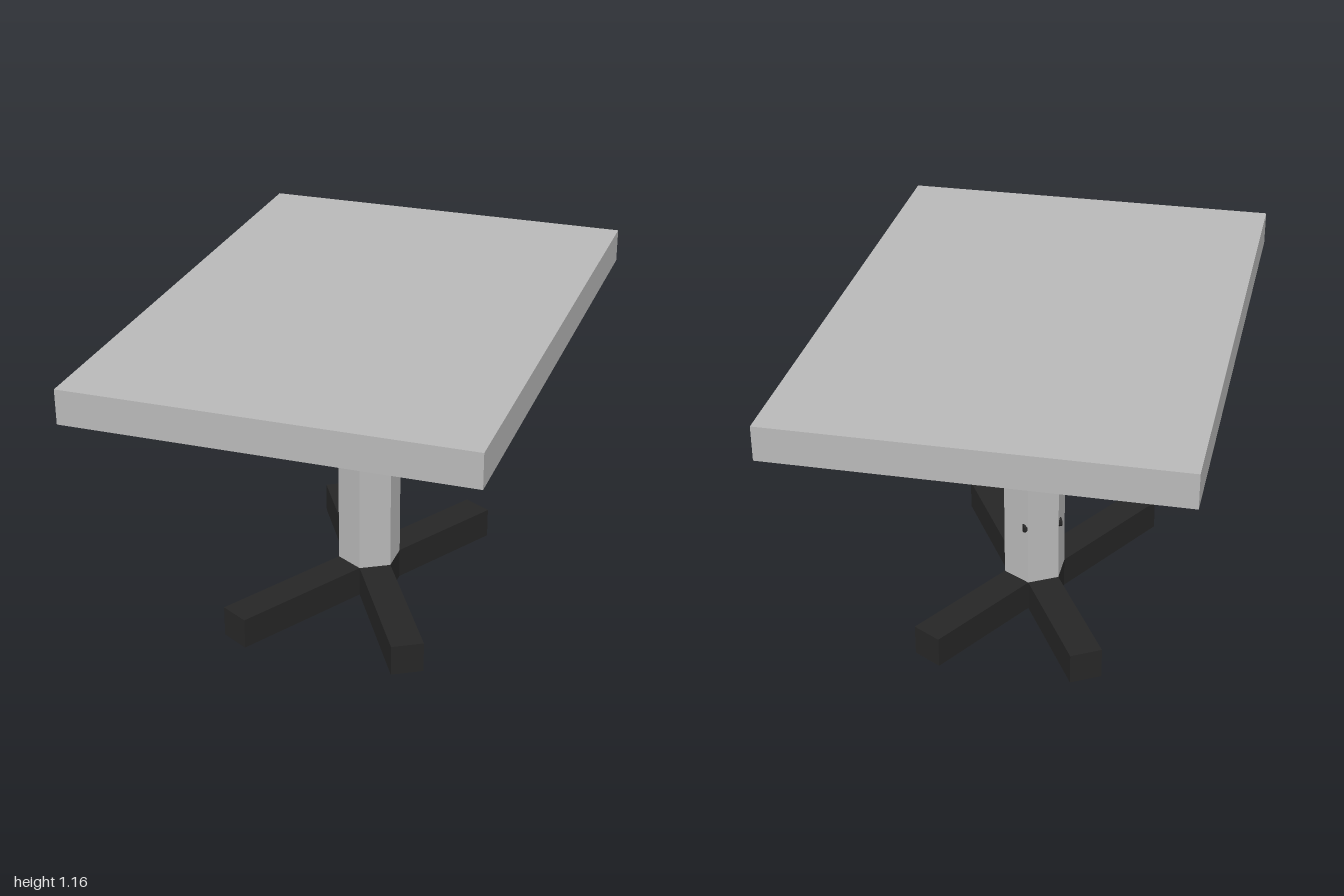
import * as THREE from 'three';

const grey = new THREE.MeshStandardMaterial({ color: 0xb8b8b8, flatShading: true });
grey.name = 'light grey';
const black = new THREE.MeshStandardMaterial({ color: 0x262626, flatShading: true });
black.name = 'charcoal';

const AXIS_Z = -0.053;   // the pedestal stands slightly behind the centre
const HEX = 0.1175;      // hexagon radius, also its side length
const BASE_H = 0.115;
const TOP_Y = 1.04;
const TOP_H = 0.123;

export function createModel() {
  const model = new THREE.Group();
  model.name = 'pedestalTable';

  const add = (name, geometry, material, x, y, z, parent = model) => {
    const mesh = new THREE.Mesh(geometry, material);
    mesh.name = name;
    mesh.position.set(x, y, z);
    parent.add(mesh);
    return mesh;
  };

  // Table top and hexagonal column
  add('tableTop', new THREE.BoxGeometry(1.4, TOP_H, 2), grey, 0, TOP_Y + TOP_H / 2, 0);
  add('column', new THREE.CylinderGeometry(HEX, HEX, TOP_Y - BASE_H, 6), grey,
    0, (TOP_Y + BASE_H) / 2, AXIS_Z);

  // Base: a hexagonal hub with four arms growing from its slanted faces
  const base = new THREE.Group();
  base.name = 'base';
  base.position.set(0, BASE_H / 2, AXIS_Z);
  model.add(base);
  add('hub', new THREE.CylinderGeometry(HEX, HEX, BASE_H, 6), black, 0, 0, 0, base);

  const inner = HEX * Math.cos(Math.PI / 6);
  for (const [name, reach, angles] of [
    ['frontArm', 0.65, [30, -30]],
    ['backArm', 0.577, [150, -150]],
  ]) {
    for (const degrees of angles) {
      const a = THREE.MathUtils.degToRad(degrees);
      const mid = (inner + reach) / 2;
      const arm = add(name, new THREE.BoxGeometry(HEX, BASE_H, reach - inner), black,
        Math.sin(a) * mid, 0, Math.cos(a) * mid, base);
      arm.rotation.y = a;
    }
  }

  // Short rod set into the column, its ends just showing at the back
  const rod = add('columnRod', new THREE.CylinderGeometry(0.017, 0.017, 0.147, 8), black,
    -0.043, 0.347, -0.125);
  rod.quaternion.setFromUnitVectors(new THREE.Vector3(0, 1, 0),
    new THREE.Vector3(-Math.cos(Math.PI / 6), 0, 0.5));

  return model;
}
